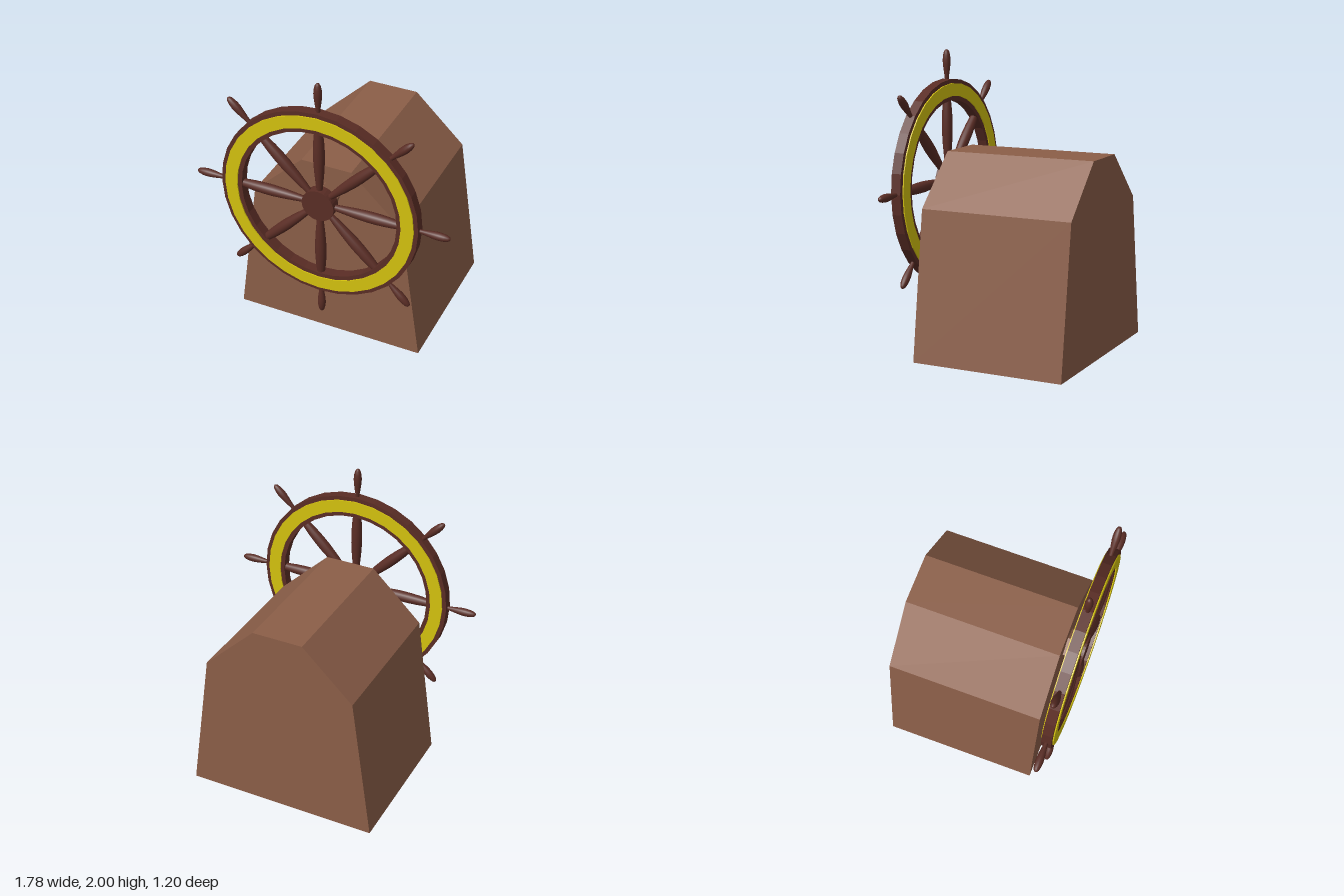
import * as THREE from 'three';

const mat = (color, extra = {}) => new THREE.MeshStandardMaterial({ color, ...extra });
const v2 = (pts) => pts.map(([x, y]) => new THREE.Vector2(x, y));

export function createModel() {
  const model = new THREE.Group();
  model.name = 'shipWheelOnStand';
  const standWood = mat(0x8b5e48, { flatShading: true, side: THREE.DoubleSide });
  const darkWood = mat(0x5a2d25);
  const darkFlat = mat(0x5a2d25, { flatShading: true });
  const brass = mat(0xd4c20e, { flatShading: true });

  const add = (parent, name, geometry, material) => {
    const mesh = new THREE.Mesh(geometry, material);
    mesh.name = name;
    parent.add(mesh);
    return mesh;
  };

  // Stand: tapered housing with sloped shoulders, hollow and open underneath
  const outline = new THREE.Shape(v2([
    [-0.665, 0], [0.665, 0], [0.525, 1], [0.175, 1.335], [-0.175, 1.335], [-0.525, 1],
  ]));
  const solid = new THREE.ExtrudeGeometry(outline, { depth: 1.06, bevelEnabled: false });
  const p = solid.attributes.position;
  const kept = [];
  for (let i = 0; i < p.count; i += 3) {
    const onFloor = [0, 1, 2].every((k) => p.getY(i + k) < 1e-4);
    if (!onFloor) for (let k = 0; k < 3; k++) kept.push(p.getX(i + k), p.getY(i + k), p.getZ(i + k) - 0.6);
  }
  const shell = new THREE.BufferGeometry();
  shell.setAttribute('position', new THREE.Float32BufferAttribute(kept, 3));
  shell.computeVertexNormals();
  add(model, 'stand', shell, standWood);

  // Wheel group, centred on its axle
  const wheel = new THREE.Group();
  wheel.name = 'wheel';
  wheel.position.set(0, 1.11, 0.558);
  model.add(wheel);

  // Five-sided axle with one edge on top
  const axle = new THREE.CylinderGeometry(0.103, 0.103, 0.12, 5);
  axle.rotateX(-Math.PI / 2);
  add(wheel, 'axle', axle, standWood).position.z = -0.06;

  // Hub disc
  const hub = new THREE.CylinderGeometry(0.112, 0.112, 0.07, 32);
  hub.rotateX(Math.PI / 2);
  add(wheel, 'hub', hub, darkFlat);

  // Rings with a rectangular section
  const ring = (name, inner, outer, half, material) => {
    const g = new THREE.LatheGeometry(v2([
      [outer, -half], [outer, half], [inner, half], [inner, -half], [outer, -half],
    ]), 32);
    g.rotateX(Math.PI / 2);
    add(wheel, name, g, material);
  };
  ring('rim', 0.545, 0.69, 0.034, darkFlat);
  ring('brassBand', 0.575, 0.662, 0.042, brass);

  // Turned spokes and grips, eight around
  const spokeShape = new THREE.LatheGeometry(v2([
    [0.018, 0.09], [0.025, 0.16], [0.032, 0.24], [0.037, 0.33],
    [0.037, 0.4], [0.034, 0.47], [0.026, 0.56],
  ]), 16);
  const gripShape = new THREE.LatheGeometry(v2([
    [0.013, 0.68], [0.015, 0.71], [0.021, 0.75], [0.026, 0.79], [0.027, 0.82],
    [0.024, 0.85], [0.018, 0.875], [0.01, 0.887], [0, 0.89],
  ]), 16);
  for (let i = 0; i < 8; i++) {
    const arm = new THREE.Group();
    arm.name = 'arm';
    arm.rotation.z = (i * Math.PI) / 4;
    add(arm, 'spoke', spokeShape, darkWood);
    add(arm, 'grip', gripShape, darkWood);
    wheel.add(arm);
  }
  return model;
}
